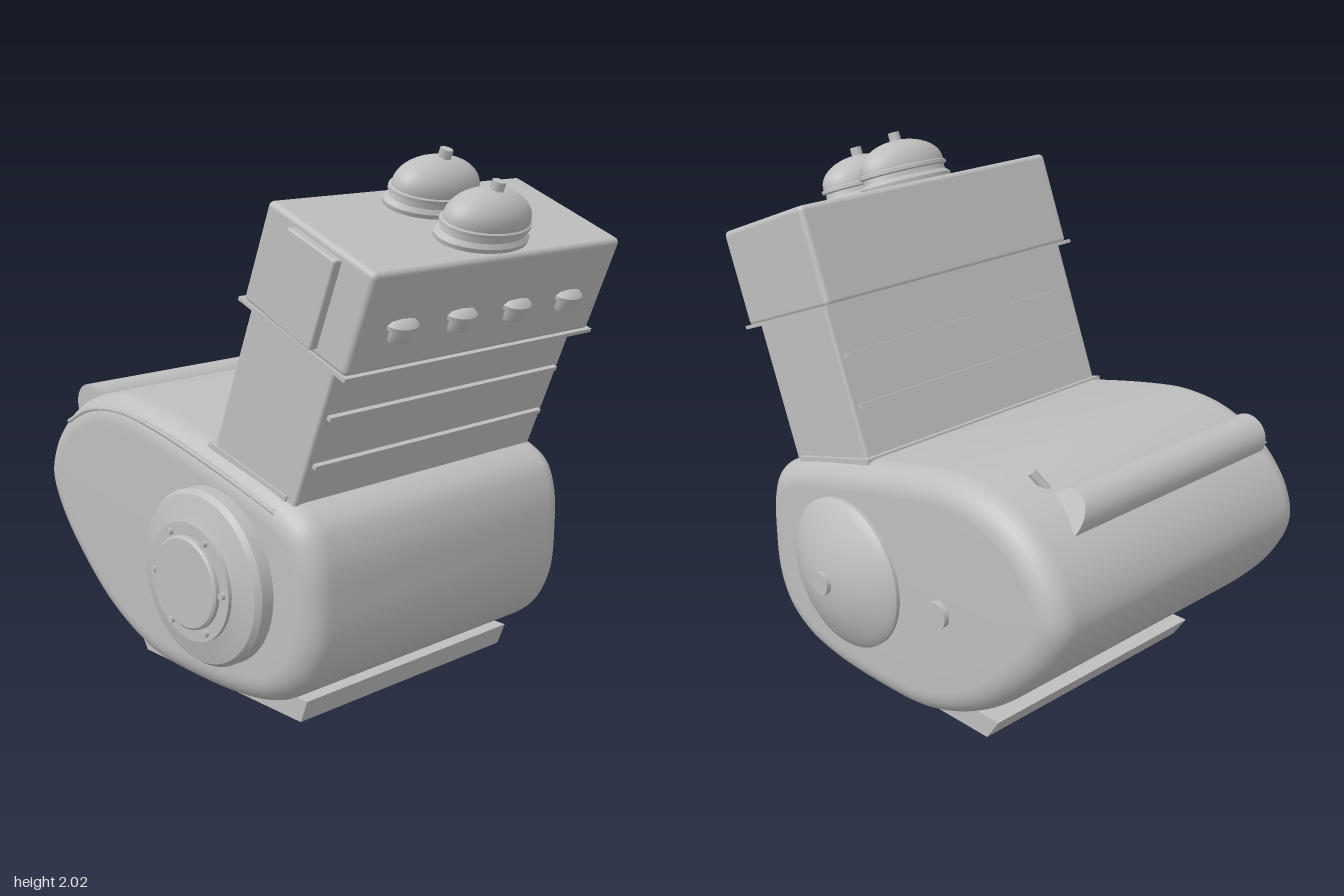
import * as THREE from 'three';
import { mergeVertices, toCreasedNormals } from 'three/addons/utils/BufferGeometryUtils.js';
import { RoundedBoxGeometry } from 'three/addons/geometries/RoundedBoxGeometry.js';

const metal = new THREE.MeshStandardMaterial({ color: 0xbebebe });
metal.name = 'castMetal';

function add(parent, name, geometry, x = 0, y = 0, z = 0) {
  const mesh = new THREE.Mesh(geometry, metal);
  mesh.name = name;
  mesh.position.set(x, y, z);
  parent.add(mesh);
  return mesh;
}

// Turned part from [radius, height] pairs, with crisp edges
function lathe(points, segments = 48) {
  const g = new THREE.LatheGeometry(points.map(p => new THREE.Vector2(...p)), segments);
  return toCreasedNormals(g, 0.6);
}

function loopShape(points) {
  const curve = new THREE.CatmullRomCurve3(points.map(p => new THREE.Vector3(p[0], p[1], 0)), true, 'centripetal');
  return new THREE.Shape(curve.getPoints(120).slice(0, -1).map(p => new THREE.Vector2(p.x, p.y)));
}

// Extruded crankcase outline with rounded ends
function crankcaseGeometry() {
  const shape = loopShape([
    [-0.91, 0.68], [-0.85, 0.535], [-0.7, 0.36], [-0.5, 0.2], [-0.25, 0.095], [0, 0.075],
    [0.3, 0.09], [0.46, 0.135], [0.58, 0.225], [0.645, 0.36], [0.66, 0.55], [0.65, 0.7],
    [0.605, 0.805], [0.5, 0.87], [0.15, 0.97], [-0.2, 1.05], [-0.38, 1.075], [-0.55, 1.06],
    [-0.7, 1.0], [-0.81, 0.91], [-0.885, 0.8]]);
  let g = new THREE.ExtrudeGeometry(shape, {
    depth: 1.14, bevelEnabled: true, bevelSize: 0.1, bevelThickness: 0.1, bevelOffset: -0.1, bevelSegments: 8 });
  g.translate(0, 0, -0.57);
  g.deleteAttribute('uv');
  g.deleteAttribute('normal');
  g = mergeVertices(g, 1e-4);
  return toCreasedNormals(g, 0.6);
}

export function createModel() {
  const root = new THREE.Group();
  root.name = 'engine';

  add(root, 'crankcase', crankcaseGeometry());

  // Seam bead along the upper front edge
  const seam = new THREE.CatmullRomCurve3(
    [[-0.74, 0.925], [-0.6, 0.995], [-0.4, 1.022], [-0.2, 1.0], [0.15, 0.92], [0.47, 0.83]]
      .map(p => new THREE.Vector3(p[0], p[1], 0.655)));
  add(root, 'seamBead', new THREE.TubeGeometry(seam, 40, 0.009, 6));

  // Sump: box narrowed toward the bottom
  const sumpShape = new THREE.Shape([[-0.44, 0.03], [0.455, 0.03], [0.49, 0.118], [-0.5, 0.118]]
    .map(p => new THREE.Vector2(...p)));
  add(root, 'sump', new THREE.ExtrudeGeometry(sumpShape, { depth: 1.06, bevelEnabled: false }), 0, 0, -0.53);
  add(root, 'drainPlug', new THREE.CylinderGeometry(0.026, 0.026, 0.04, 6), -0.005, 0.02, 0);

  // Front cover with stepped rings and bolts
  const cover = new THREE.Group();
  cover.name = 'frontCover';
  cover.position.set(0.155, 0.535, 0.66);
  cover.rotation.x = Math.PI / 2;
  root.add(cover);
  add(cover, 'coverDisc', lathe([[0.32, 0], [0.32, 0.06], [0.305, 0.08], [0.27, 0.09], [0.23, 0.1],
    [0.215, 0.105], [0.215, 0.12], [0.168, 0.12], [0.168, 0.135], [0.16, 0.142], [0, 0.142]], 64));
  for (let i = 0; i < 6; i++) {
    const a = i * Math.PI / 3;
    add(cover, 'coverBolt', new THREE.CylinderGeometry(0.013, 0.013, 0.02, 8),
      0.188 * Math.cos(a), 0.126, 0.188 * Math.sin(a));
  }

  // Domed rear cover
  const rear = new THREE.Group();
  rear.name = 'rearCover';
  rear.position.set(0.155, 0.535, -0.66);
  rear.rotation.x = -Math.PI / 2;
  root.add(rear);
  const dome = [[0.293, 0], [0.293, 0.025], [0.285, 0.035]];
  for (let i = 1; i <= 10; i++) {
    const r = 0.285 * (1 - i / 10);
    dome.push([r, 0.035 + 0.093 * (1 - (r / 0.285) ** 2)]);
  }
  add(rear, 'rearDome', lathe(dome, 64));
  add(rear, 'rearNut', new THREE.CylinderGeometry(0.045, 0.045, 0.03, 12), 0, 0.13, 0);
  add(root, 'rearPlug', new THREE.CylinderGeometry(0.05, 0.05, 0.04, 24), -0.35, 0.56, -0.672)
    .rotation.x = Math.PI / 2;

  // Half-sunk tube on the shoulder, its rear end cut on a slant
  const tube = new THREE.CylinderGeometry(0.083, 0.083, 0.955, 32).rotateX(Math.PI / 2);
  const p = tube.attributes.position;
  for (let i = 0; i < p.count; i++) {
    if (p.getZ(i) < 0) p.setZ(i, p.getZ(i) - 0.6 * (0.083 - p.getY(i)));
  }
  add(root, 'shoulderTube', toCreasedNormals(tube, 0.6), -0.712, 0.98, 0.0975);
  const pin = add(root, 'dipstick', new THREE.CylinderGeometry(0.016, 0.016, 0.09, 12), -0.585, 1.06, -0.415);
  pin.rotation.set(-0.5, 0, -0.5);

  // Foot plate where the cylinder block meets the crankcase
  add(root, 'blockFoot', new THREE.BoxGeometry(0.42, 0.02, 1.24), 0.28, 0.93, 0).rotation.z = -0.27;

  // Tilted cylinder bank, local y along its axis, origin at the head centre
  const bank = new THREE.Group();
  bank.name = 'cylinderBank';
  bank.position.set(0.59, 1.6, 0.005);
  bank.rotation.z = -0.375;
  root.add(bank);
  add(bank, 'cylinderBlock', new RoundedBoxGeometry(0.435, 0.72, 1.215, 2, 0.012), -0.01, -0.5, 0);
  add(bank, 'head', new RoundedBoxGeometry(0.525, 0.37, 1.24, 3, 0.02), 0, 0, 0);
  add(bank, 'headGasket', new THREE.BoxGeometry(0.55, 0.014, 1.255), 0, -0.184, 0);
  add(bank, 'headSidePlate', new RoundedBoxGeometry(0.235, 0.32, 0.04, 2, 0.008), 0, 0, 0.632);
  for (const side of [-1, 1]) {
    for (const y of [-0.37, -0.56]) {
      add(bank, 'blockRail', new THREE.BoxGeometry(0.026, 0.016, 1.16), -0.01 + side * 0.222, y, 0);
    }
  }

  // Plugs along the outer side of the head
  for (let i = 0; i < 4; i++) {
    const plug = new THREE.Group();
    plug.name = 'headPlug';
    plug.position.set(0.262, -0.035, -0.415 + i * 0.28);
    plug.scale.x = 0.65;
    bank.add(plug);
    add(plug, 'plugStem', lathe([[0, -0.035], [0.045, -0.035], [0.05, -0.025], [0.05, 0.02]], 24));
    add(plug, 'plugCap', lathe([[0, 0.01], [0.066, 0.01], [0.068, 0.025], [0.05, 0.038], [0, 0.042]], 24));
  }

  // Pair of oval breather domes on top
  const breather = [[0.205, 0], [0.208, 0.015], [0.188, 0.03], [0.185, 0.048], [0.2, 0.052], [0.2, 0.064], [0.19, 0.068]];
  for (let i = 0; i <= 10; i++) {
    const a = i / 10 * Math.PI / 2;
    breather.push([0.19 * Math.cos(a), 0.075 + 0.1 * Math.sin(a)]);
  }
  for (const x of [-0.126, 0.126]) {
    const g = new THREE.Group();
    g.name = 'breather';
    g.position.set(x, 0.185, -0.005);
    bank.add(g);
    add(g, 'breatherDome', lathe(breather)).scale.x = 0.575;
    add(g, 'breatherNut', new THREE.CylinderGeometry(0.024, 0.024, 0.04, 6), 0, 0.185, 0);
  }
  return root;
}
